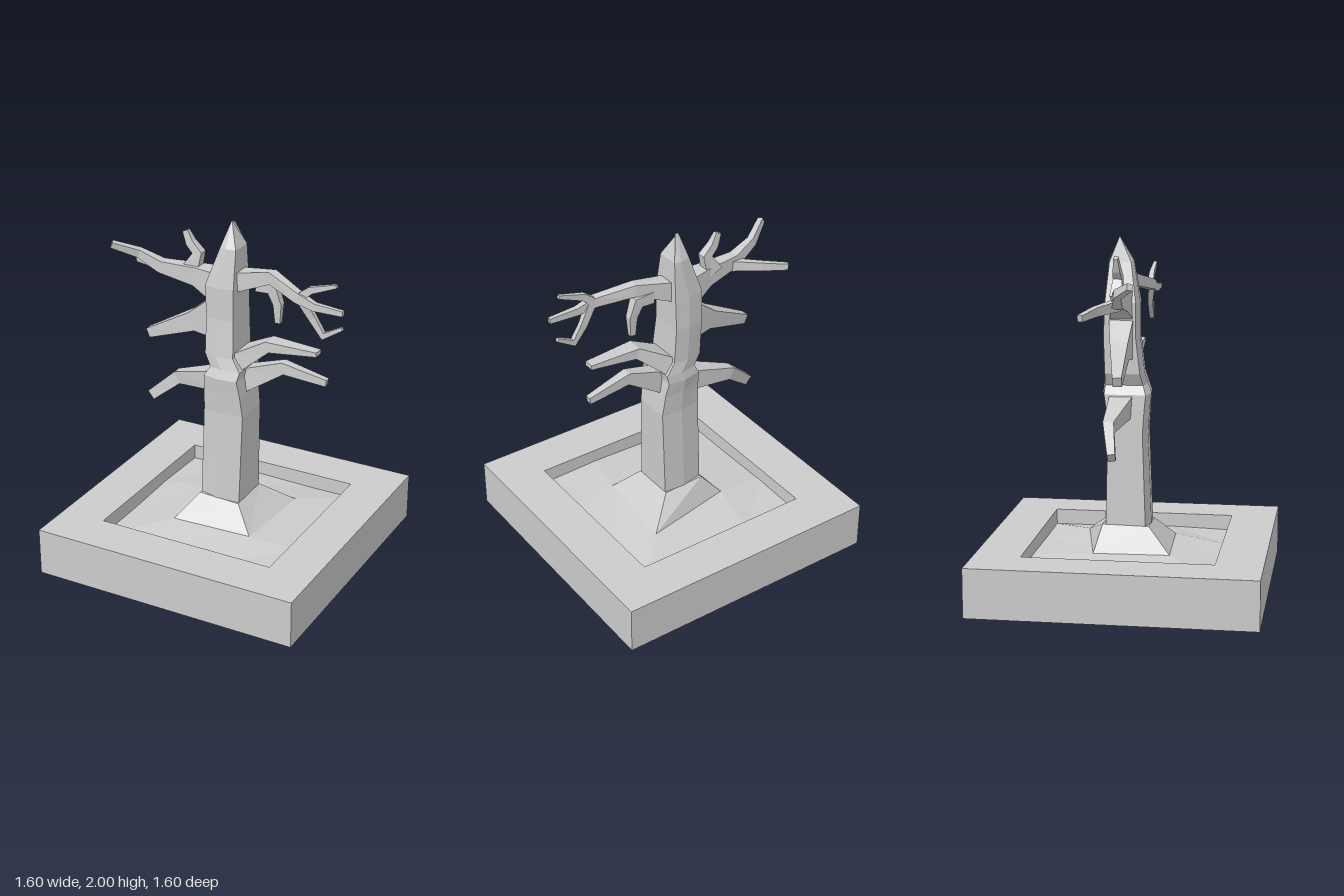
import * as THREE from 'three';

const grey = new THREE.MeshStandardMaterial({ color: 0xcccccc, flatShading: true });
grey.name = 'stone grey';

// Collects quads (counter-clockwise from outside) into a flat-shaded mesh
function quadMesh(name, quads) {
  const pos = [];
  for (const [a, b, c, d] of quads) pos.push(...a, ...b, ...c, ...a, ...c, ...d);
  const g = new THREE.BufferGeometry();
  g.setAttribute('position', new THREE.Float32BufferAttribute(pos, 3));
  g.computeVertexNormals();
  const m = new THREE.Mesh(g, grey);
  m.name = name;
  return m;
}

// Joins cross-section rings and closes both ends
function loft(name, rings) {
  const quads = [], n = rings[0].length;
  for (let r = 0; r < rings.length - 1; r++) {
    for (let i = 0; i < n; i++) {
      const j = (i + 1) % n;
      quads.push([rings[r][i], rings[r][j], rings[r + 1][j], rings[r + 1][i]]);
    }
  }
  const first = rings[0], last = rings[rings.length - 1];
  for (let i = 1; i < n - 1; i++) {
    quads.push([last[0], last[i], last[i + 1], last[i + 1]]);
    quads.push([first[0], first[i + 1], first[i], first[i]]);
  }
  return quadMesh(name, quads);
}

// Four-sided limb; each point is [x, y, z, half height, half depth]
function limb(name, pts) {
  const P = pts.map(p => new THREE.Vector3(p[0], p[1], p[2]));
  const rings = pts.map((p, i) => {
    const t = new THREE.Vector3();
    if (i > 0) t.add(P[i].clone().sub(P[i - 1]).normalize());
    if (i < P.length - 1) t.add(P[i + 1].clone().sub(P[i]).normalize());
    t.normalize();
    const u = new THREE.Vector3(0, 0, 1).addScaledVector(t, -t.z).normalize();
    const v = t.clone().cross(u);
    return [[-1, -1], [1, -1], [1, 1], [-1, 1]].map(([a, b]) =>
      P[i].clone().addScaledVector(u, a * p[4]).addScaledVector(v, b * p[3]).toArray());
  });
  return loft(name, rings);
}

// Six-point trunk section with a slight crease at front and back
function section([y, xl, xr, zf, zb]) {
  const m = xl + (xr - xl) * 0.42, k = 0.08 * (zf - zb);
  return [[xl, y, zf - k], [m, y, zf], [xr, y, zf - k / 2],
    [xr, y, zb + k / 2], [m + 0.02, y, zb], [xl, y, zb + k]];
}

export function createModel() {
  const model = new THREE.Group();
  model.name = 'bareTreeInPlanter';

  // Square planter frame with its floor
  const frame = new THREE.Shape([[-0.8, -0.8], [0.8, -0.8], [0.8, 0.8], [-0.8, 0.8]].map(p => new THREE.Vector2(...p)));
  const h = 0.535;
  frame.holes.push(new THREE.Path([[-h, -h], [-h, h], [h, h], [h, -h]].map(p => new THREE.Vector2(...p))));
  const frameGeo = new THREE.ExtrudeGeometry(frame, { depth: 0.28, bevelEnabled: false });
  frameGeo.rotateX(-Math.PI / 2);
  const frameMesh = new THREE.Mesh(frameGeo, grey);
  frameMesh.name = 'planterFrame';
  const floor = new THREE.Mesh(new THREE.BoxGeometry(2 * h, 0.1, 2 * h), grey);
  floor.position.y = 0.05;
  floor.name = 'planterFloor';
  model.add(frameMesh, floor);

  // Soil slopes from the root flare down to the frame
  const lo = 0.19, hi = 0.235;
  const soil = [
    [[-h, lo, -h], [-0.19, lo + 0.01, -h], [0.24, lo, -h], [h, lo, -h]],
    [[-h, lo + 0.01, -0.18], [-0.25, hi, -0.18], [0.29, hi, -0.29], [h, lo, -0.18]],
    [[-h, lo, 0.18], [-0.23, hi, 0.25], [0.25, hi, 0.23], [h, lo + 0.01, 0.18]],
    [[-h, lo, h], [-0.19, lo, h], [0.18, lo + 0.01, h], [h, lo, h]],
  ];
  const patches = [];
  for (let r = 0; r < 3; r++) {
    for (let c = 0; c < 3; c++) {
      if (r === 1 && c === 1) continue;
      patches.push([soil[r + 1][c], soil[r + 1][c + 1], soil[r][c + 1], soil[r][c]]);
    }
  }
  model.add(quadMesh('soil', patches));

  // Root flare
  model.add(loft('rootFlare', [
    [soil[2][1], soil[2][2], soil[1][2], soil[1][1]],
    [[-0.13, 0.37, 0.12], [0.12, 0.36, 0.12], [0.12, 0.365, -0.145], [-0.13, 0.375, -0.145]],
  ]));

  // Trunk: y, left x, right x, front z, back z
  const trunk = [
    [0.36, -0.13, 0.12, 0.122, -0.148],
    [0.9, -0.12, 0.13, 0.1, -0.135],
    [1.03, -0.115, 0.115, 0.11, -0.145],
    [1.12, -0.11, 0.1, 0.12, -0.16],
    [1.17, -0.08, 0.11, 0.1, -0.155],
    [1.24, -0.12, 0.06, 0.085, -0.15],
    [1.45, -0.125, 0.05, 0.06, -0.155],
    [1.64, -0.13, 0.05, 0.06, -0.145],
    [1.86, -0.055, 0.045, 0.02, -0.125],
    [2.0, -0.019, -0.017, -0.059, -0.061],
  ].map(section);
  model.add(loft('trunk', trunk));

  // Branches
  const limbs = {
    upperRightBranch: [[-0.07, 1.62, -0.04, 0.09, 0.07], [-0.22, 1.66, -0.03, 0.055, 0.045], [-0.44, 1.68, -0.01, 0.035, 0.03],
      [-0.57, 1.74, 0.01, 0.025, 0.02], [-0.7, 1.795, 0.095, 0.018, 0.016]],
    upperRightFork: [[-0.4, 1.66, -0.02, 0.03, 0.025], [-0.55, 1.645, -0.11, 0.025, 0.018], [-0.69, 1.625, -0.17, 0.018, 0.015]],
    upperRightTwig: [[-0.26, 1.68, -0.04, 0.05, 0.035], [-0.215, 1.79, -0.04, 0.03, 0.025], [-0.265, 1.84, -0.04, 0.025, 0.02],
      [-0.295, 1.905, -0.04, 0.018, 0.012]],
    middleRightBranch: [[-0.07, 1.435, -0.04, 0.13, 0.07], [-0.24, 1.385, -0.03, 0.055, 0.05], [-0.52, 1.262, 0.0, 0.028, 0.025]],
    lowerRightBranch: [[-0.05, 1.06, -0.04, 0.065, 0.07], [-0.37, 0.985, -0.07, 0.038, 0.03], [-0.53, 0.85, -0.03, 0.03, 0.022]],
    upperLeftBranch: [[0.0, 1.66, -0.05, 0.06, 0.055], [0.25, 1.73, -0.03, 0.035, 0.03], [0.45, 1.68, 0.055, 0.03, 0.022],
      [0.55, 1.65, 0.065, 0.022, 0.016], [0.72, 1.645, 0.07, 0.015, 0.012]],
    upperLeftTopTwig: [[0.44, 1.67, 0.05, 0.025, 0.018], [0.52, 1.735, 0.05, 0.02, 0.014], [0.67, 1.785, 0.05, 0.01, 0.01]],
    upperLeftLowTwig: [[0.47, 1.67, 0.055, 0.025, 0.018], [0.53, 1.57, 0.04, 0.022, 0.014], [0.595, 1.48, 0.04, 0.02, 0.014],
      [0.7, 1.54, 0.03, 0.01, 0.01]],
    upperLeftDroopTwig: [[0.15, 1.665, -0.05, 0.035, 0.03], [0.245, 1.66, -0.05, 0.035, 0.028], [0.278, 1.57, -0.05, 0.025, 0.02],
      [0.278, 1.46, -0.05, 0.016, 0.014]],
    middleLeftBranch: [[0.02, 1.18, -0.04, 0.06, 0.1], [0.25, 1.335, -0.02, 0.032, 0.05], [0.54, 1.342, -0.02, 0.013, 0.03]],
    lowerLeftBranch: [[0.04, 1.07, -0.03, 0.075, 0.05], [0.32, 1.2, -0.05, 0.035, 0.03], [0.575, 1.155, -0.065, 0.02, 0.018]],
  };
  for (const [name, pts] of Object.entries(limbs)) model.add(limb(name, pts));

  return model;
}
